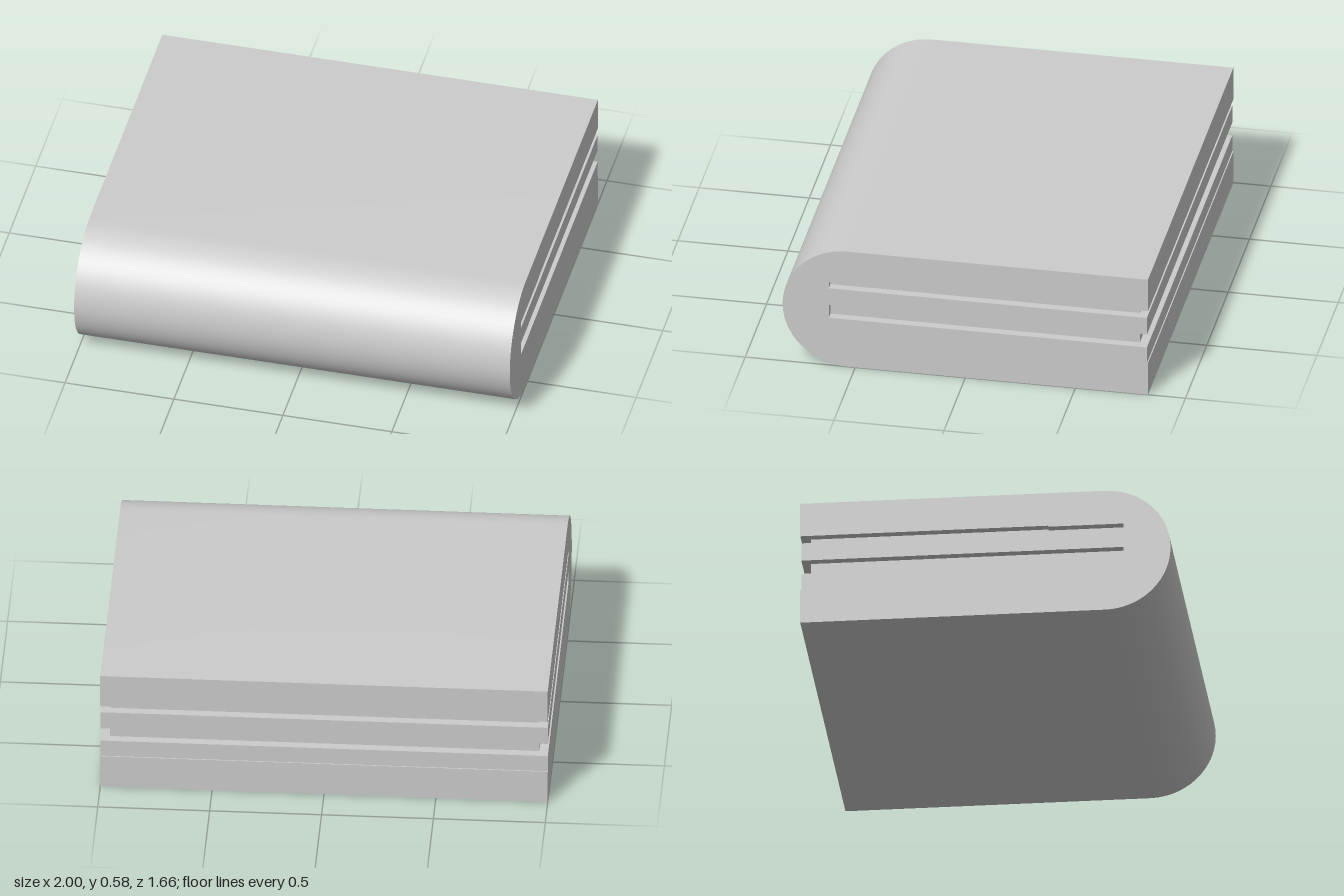
import * as THREE from 'three';
import { toCreasedNormals } from 'three/addons/utils/BufferGeometryUtils.js';

const material = new THREE.MeshStandardMaterial({ color: 0xcccccc });

function addMesh(group, name, geometry) {
  const mesh = new THREE.Mesh(geometry, material);
  mesh.name = name;
  group.add(mesh);
  return mesh;
}

// Block given by its half width in x and its ranges in y and z
function addBlock(group, name, halfWidth, y0, y1, z0, z1) {
  const mesh = addMesh(group, name, new THREE.BoxGeometry(2 * halfWidth, y1 - y0, z1 - z0));
  mesh.position.set(0, (y0 + y1) / 2, (z0 + z1) / 2);
}

export function createModel() {
  const group = new THREE.Group();
  group.name = 'foldedBlock';

  const height = 0.585, radius = height / 2;
  const back = -0.83, innerBack = -0.825, slotFront = 0.62;
  const arcZ = 0.83 - radius;

  // Side profile (drawn in -z, y): rounded front, two slots open to the back
  const profile = new THREE.Shape();
  profile.moveTo(-back, 0);
  profile.lineTo(-back, 0.16);
  profile.lineTo(-innerBack, 0.16);
  for (const [z, y] of [
    [innerBack, 0.24], [slotFront, 0.24], [slotFront, 0.305], [innerBack, 0.305],
    [innerBack, 0.39], [slotFront, 0.39], [slotFront, 0.42], [0.28, 0.42],
    [0.28, 0.425], [back, 0.425], [back, height],
  ]) profile.lineTo(-z, y);
  profile.lineTo(-arcZ, height);
  profile.absarc(-arcZ, radius, radius, Math.PI / 2, Math.PI * 1.5, false);
  profile.closePath();

  const body = new THREE.ExtrudeGeometry(profile, { depth: 2, bevelEnabled: false, curveSegments: 14 });
  body.translate(0, 0, -1);
  body.rotateY(Math.PI / 2);
  addMesh(group, 'roundedBody', toCreasedNormals(body, 0.5));

  // Recessed sheets that fill the slots
  addBlock(group, 'lowerSheet', 0.96, 0.24, 0.305, -0.785, slotFront);
  addBlock(group, 'upperSheet', 0.96, 0.39, 0.425, -0.785, slotFront);

  return group;
}
